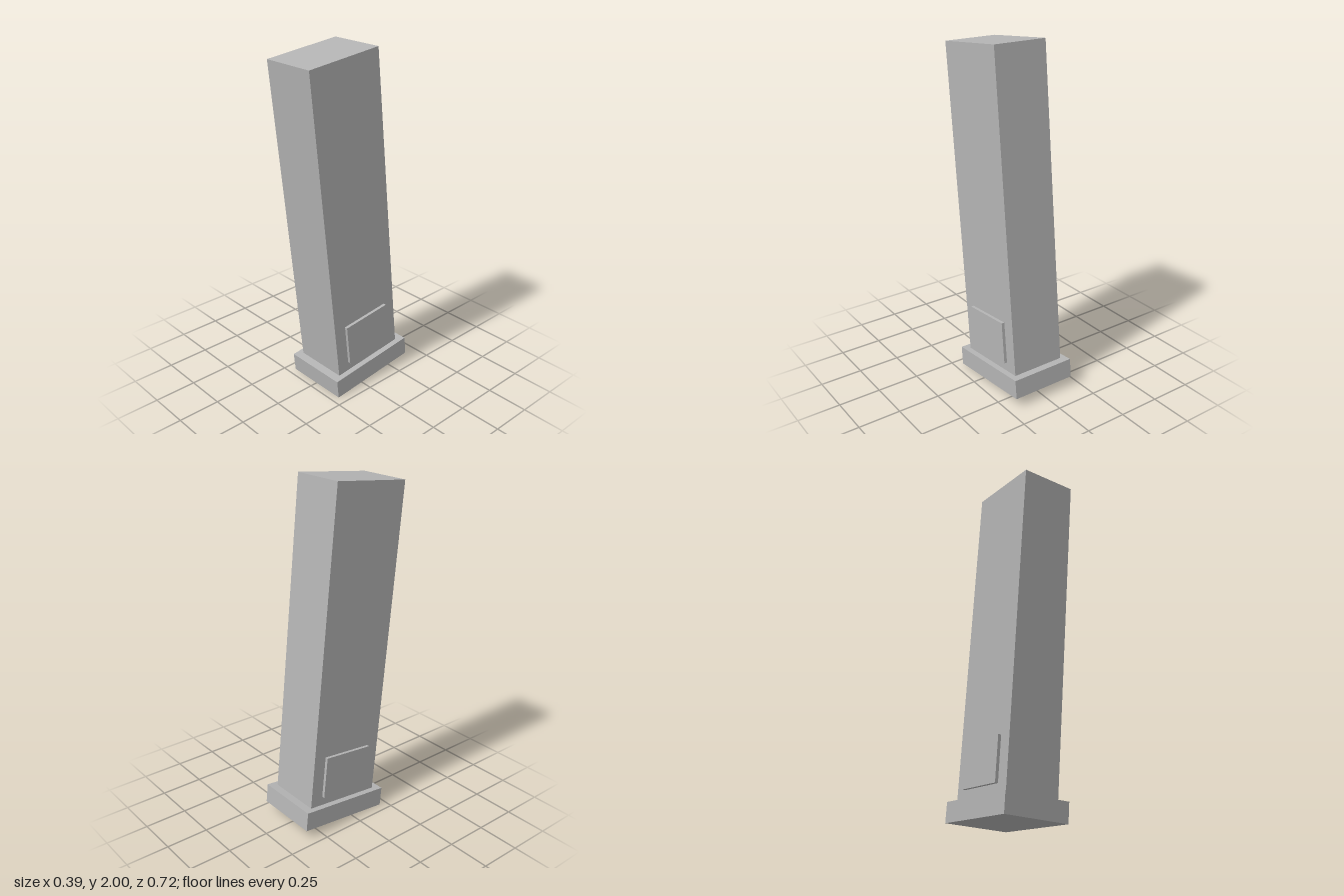
import * as THREE from 'three';

export function createModel() {
  const model = new THREE.Group();
  model.name = 'leaningPillar';
  const stone = new THREE.MeshStandardMaterial({ color: 0xb4b4b4 });
  stone.name = 'greyStone';

  // Adds a box standing on the given height of the pillar's own axis
  function addBlock(name, width, height, depth, bottom, x = 0) {
    const mesh = new THREE.Mesh(new THREE.BoxGeometry(width, height, depth), stone);
    mesh.name = name;
    mesh.position.set(x, bottom + height / 2, 0);
    model.add(mesh);
  }

  const baseHeight = 0.114;
  const shaftWidth = 0.325;
  const plateThickness = 0.018;

  // Plinth and tall shaft
  addBlock('base', 0.394, baseHeight, 0.565, 0);
  addBlock('shaft', shaftWidth, 1.845, 0.468, baseHeight);

  // Raised plates low on both sides, sunk slightly into the shaft
  for (const [name, side] of [['leftPlate', 1], ['rightPlate', -1]]) {
    const sunk = 0.01;
    const x = side * (shaftWidth / 2 + (plateThickness - sunk) / 2);
    addBlock(name, plateThickness + sunk, 0.25, 0.315, 0.169, x);
  }

  // The whole pillar leans forward
  model.rotation.x = THREE.MathUtils.degToRad(6);
  model.position.set(0, 0.0295, -0.076);

  const group = new THREE.Group();
  group.add(model);
  return group;
}
